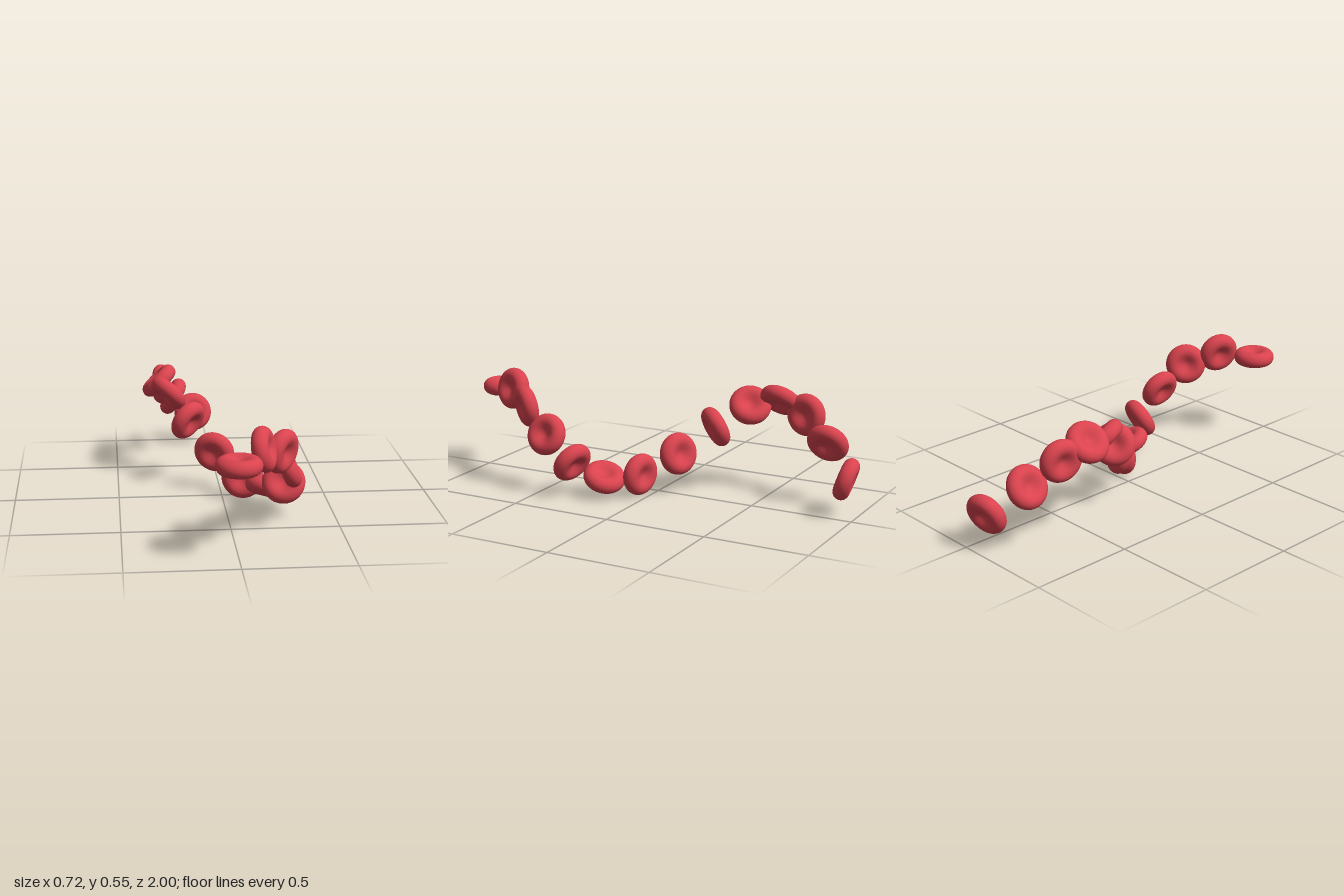
import * as THREE from 'three';

const RIM_CENTRE = 0.064, RIM_RADIUS = 0.038, DIMPLE_HALF = 0.016;

// Biconcave disc: dimpled faces blending into a round rim, axis along y
function cellGeometry() {
  const half = [];
  const n = 10;
  for (let i = 0; i <= n; i++) {
    const t = i / n;
    const blend = 0.5 - 0.5 * Math.cos(Math.PI * t);
    half.push([RIM_CENTRE * t, DIMPLE_HALF + (RIM_RADIUS - DIMPLE_HALF) * blend]);
  }
  for (let i = 1; i <= n; i++) {
    const a = (Math.PI / 2) * (1 - i / n);
    half.push([RIM_CENTRE + RIM_RADIUS * Math.cos(a), RIM_RADIUS * Math.sin(a)]);
  }
  // Mirror the upper half below and run from bottom to top
  const lower = half.slice(0, -1).map(([r, y]) => new THREE.Vector2(r, -y));
  const upper = half.map(([r, y]) => new THREE.Vector2(r, y)).reverse();
  return new THREE.LatheGeometry([...lower, ...upper], 48);
}

// Each cell along the winding chain: centre, then the direction of its axis
const CELLS = [
  [[-0.003, 0.425, 0.897], [0, 1, 0]],
  [[0.118, 0.452, 0.755], [0.92, 0.2, 0.32]],
  [[0.215, 0.399, 0.614], [0.77, -0.15, 0.62]],
  [[0.262, 0.286, 0.472], [0.92, 0.38, 0.05]],
  [[0.26, 0.165, 0.33], [-0.26, 0.46, 0.85]],
  [[0.197, 0.095, 0.188], [0.27, 0.9, -0.36]],
  [[0.096, 0.102, 0.047], [-0.25, 0.03, 0.97]],
  [[-0.029, 0.193, -0.094], [-0.41, -0.18, 0.89]],
  [[-0.148, 0.318, -0.235], [0.66, -0.4, 0.62]],
  [[-0.238, 0.423, -0.376], [0.66, 0.66, -0.35]],
  [[-0.279, 0.455, -0.516], [-0.68, 0.72, -0.1]],
  [[-0.262, 0.403, -0.658], [0.97, 0.05, 0.2]],
  [[-0.194, 0.299, -0.798], [0.86, -0.48, 0.02]],
  [[-0.08, 0.174, -0.939], [0.17, 0.32, 0.93]],
];

export function createModel() {
  const group = new THREE.Group();
  group.name = 'bloodCellChain';
  const red = new THREE.MeshStandardMaterial({ color: 0xd9434e });
  red.name = 'bloodRed';
  const geometry = cellGeometry();
  const up = new THREE.Vector3(0, 1, 0);

  CELLS.forEach(([centre, axis], i) => {
    const cell = new THREE.Mesh(geometry, red);
    cell.name = `bloodCell${i + 1}`;
    cell.position.set(...centre);
    cell.quaternion.setFromUnitVectors(up, new THREE.Vector3(...axis).normalize());
    group.add(cell);
  });
  return group;
}
